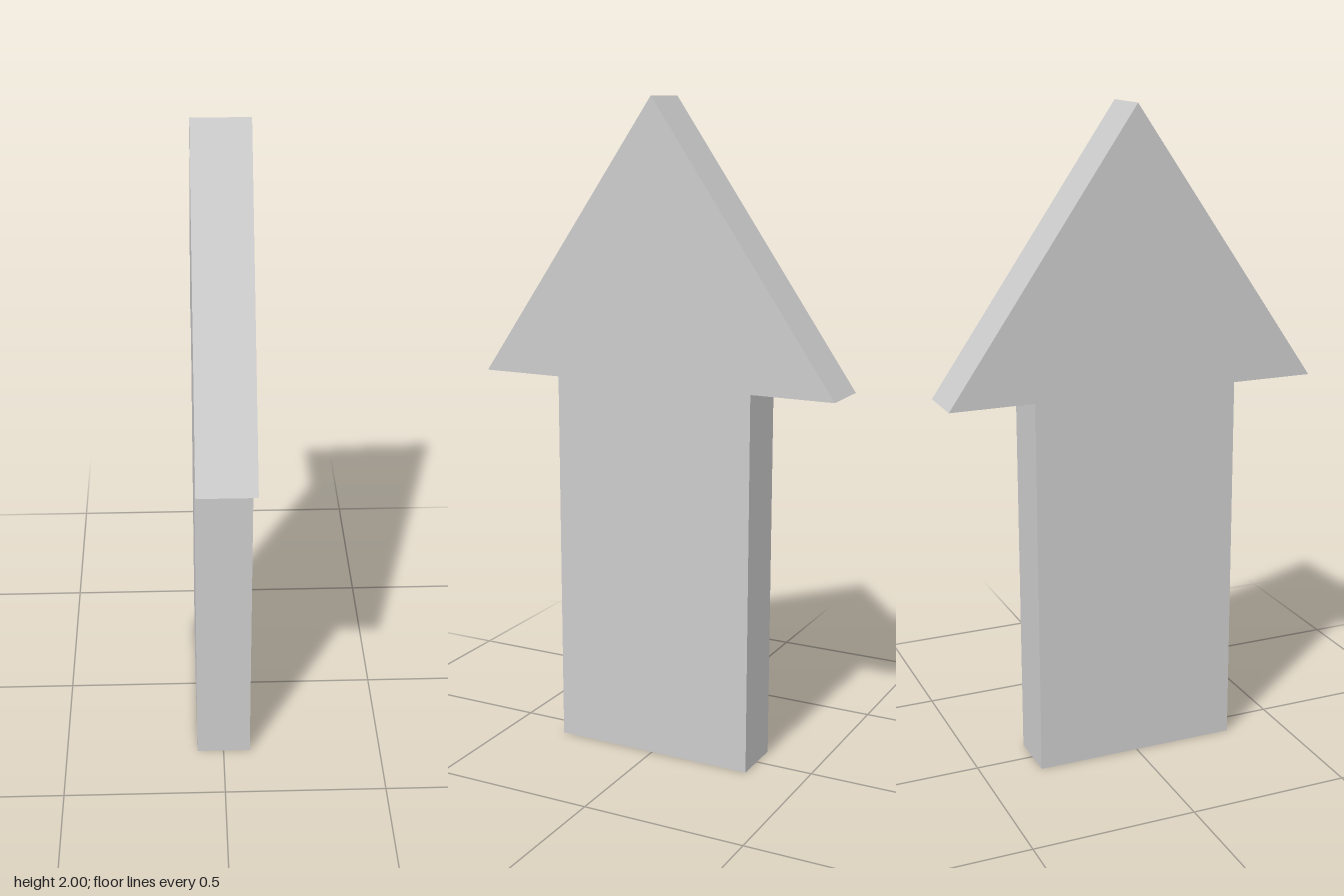
import * as THREE from 'three';

const THICKNESS = 0.168;
const HEIGHT = 2;
const SHAFT_HALF = 0.32;
const HEAD_HALF = 0.577;
const HEAD_BASE = 1.165;

export function createModel() {
  const group = new THREE.Group();
  group.name = 'upArrow';

  // Arrow outline: one half from base to tip, mirrored for the other half
  const half = [[SHAFT_HALF, 0], [SHAFT_HALF, HEAD_BASE], [HEAD_HALF, HEAD_BASE]];
  const outline = [
    ...half.map(([w, y]) => new THREE.Vector2(w, y)),
    new THREE.Vector2(0, HEIGHT),
    ...half.map(([w, y]) => new THREE.Vector2(-w, y)).reverse(),
  ];

  // Flat plate, turned so that its broad faces look along x
  const geometry = new THREE.ExtrudeGeometry(new THREE.Shape(outline), {
    depth: THICKNESS,
    bevelEnabled: false,
  });
  geometry.translate(0, 0, -THICKNESS / 2);
  geometry.rotateY(Math.PI / 2);

  const arrow = new THREE.Mesh(geometry, new THREE.MeshStandardMaterial({ color: 0xcccccc }));
  arrow.name = 'arrowPlate';
  group.add(arrow);
  return group;
}
